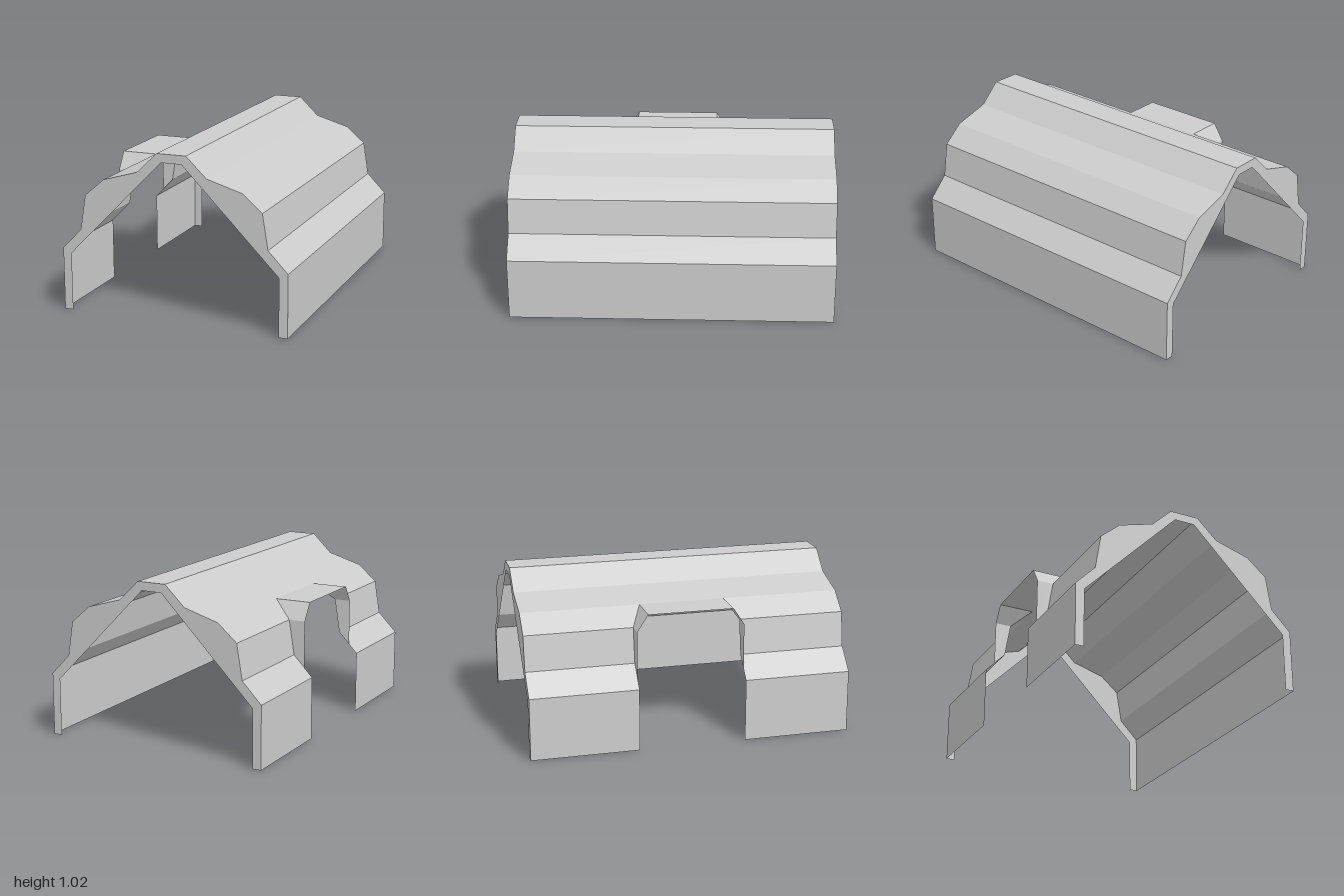
import * as THREE from 'three';

// Outer cross-section (right half, ground to ridge) and its inner outline
const HALF = [[0.72, 0], [0.72, 0.388], [0.597, 0.515], [0.562, 0.73], [0.44, 0.835], [0.22, 0.9], [0.092, 1.023]];
const INNER = [[0.665, 0], [0.665, 0.36], [0.065, 0.97]];
const CUT_TOP = 0.265, CUT = 0.333; // half widths of the side opening

const mirror = (pts) => pts.map(([x, y]) => [-x, y]).reverse();

// Mesh of four-cornered faces, corners counter-clockwise from outside
function quadMesh(name, quads, material) {
  const pos = quads.flatMap(([a, b, c, d]) => [a, b, c, a, c, d]).flat();
  const geo = new THREE.BufferGeometry();
  geo.setAttribute('position', new THREE.Float32BufferAttribute(pos, 3));
  geo.computeVertexNormals();
  const mesh = new THREE.Mesh(geo, material);
  mesh.name = name;
  return mesh;
}

// Panel between profile points a and b, with z limits at each point
const panel = (a, b, [a0, a1] = [-1, 1], [b0, b1] = [-1, 1]) =>
  [[...a, a1], [...a, a0], [...b, b0], [...b, b1]];

export function createModel() {
  const group = new THREE.Group();
  const grey = new THREE.MeshStandardMaterial({ color: 0xcccccc, side: THREE.DoubleSide, flatShading: true });
  grey.name = 'light grey';

  // Folded sheet: the left side is split around the opening
  const outer = [...HALF, ...mirror(HALF)];
  const roof = [], leftWall = [];
  for (let i = 0; i < outer.length - 1; i++) {
    const a = outer[i], b = outer[i + 1];
    if (i < 9) {
      roof.push(panel(a, b));
    } else {
      const ca = i === 9 ? CUT_TOP : CUT;
      leftWall.push(panel(a, b, [ca, 1], [CUT, 1]), panel(a, b, [-1, -ca], [-1, -CUT]));
    }
  }
  group.add(quadMesh('roofShell', roof, grey), quadMesh('splitSideWall', leftWall, grey));

  // Flat rims at both ends
  const inner = [...INNER, ...mirror(INNER)].reverse();
  const shape = new THREE.Shape([...outer, ...inner].map(([x, y]) => new THREE.Vector2(x, y)));
  for (const s of [1, -1]) {
    const rim = new THREE.Mesh(new THREE.ShapeGeometry(shape), grey);
    rim.name = s > 0 ? 'frontRim' : 'backRim';
    rim.position.z = s;
    if (s < 0) rim.rotation.y = Math.PI;
    group.add(rim);
  }

  // Doorway hood: flat top, bevelled shoulders and upright cheeks
  const X = -0.667;
  const hood = [panel([-0.44, 0.835], [X, 0.835], [-CUT_TOP, CUT_TOP], [-CUT_TOP, CUT_TOP])];
  for (const s of [1, -1]) {
    const sides = [
      [[X, 0.835, s * CUT_TOP], [X, 0.73, s * CUT], [-0.562, 0.73, s * CUT], [-0.44, 0.835, s * CUT_TOP]],
      [[X, 0.73, s * CUT], [X, 0.443, s * CUT], [-0.597, 0.515, s * CUT], [-0.562, 0.73, s * CUT]],
    ];
    hood.push(...sides.map((q) => (s > 0 ? q : q.reverse())));
  }
  group.add(quadMesh('doorwayHood', hood, grey));
  return group;
}
